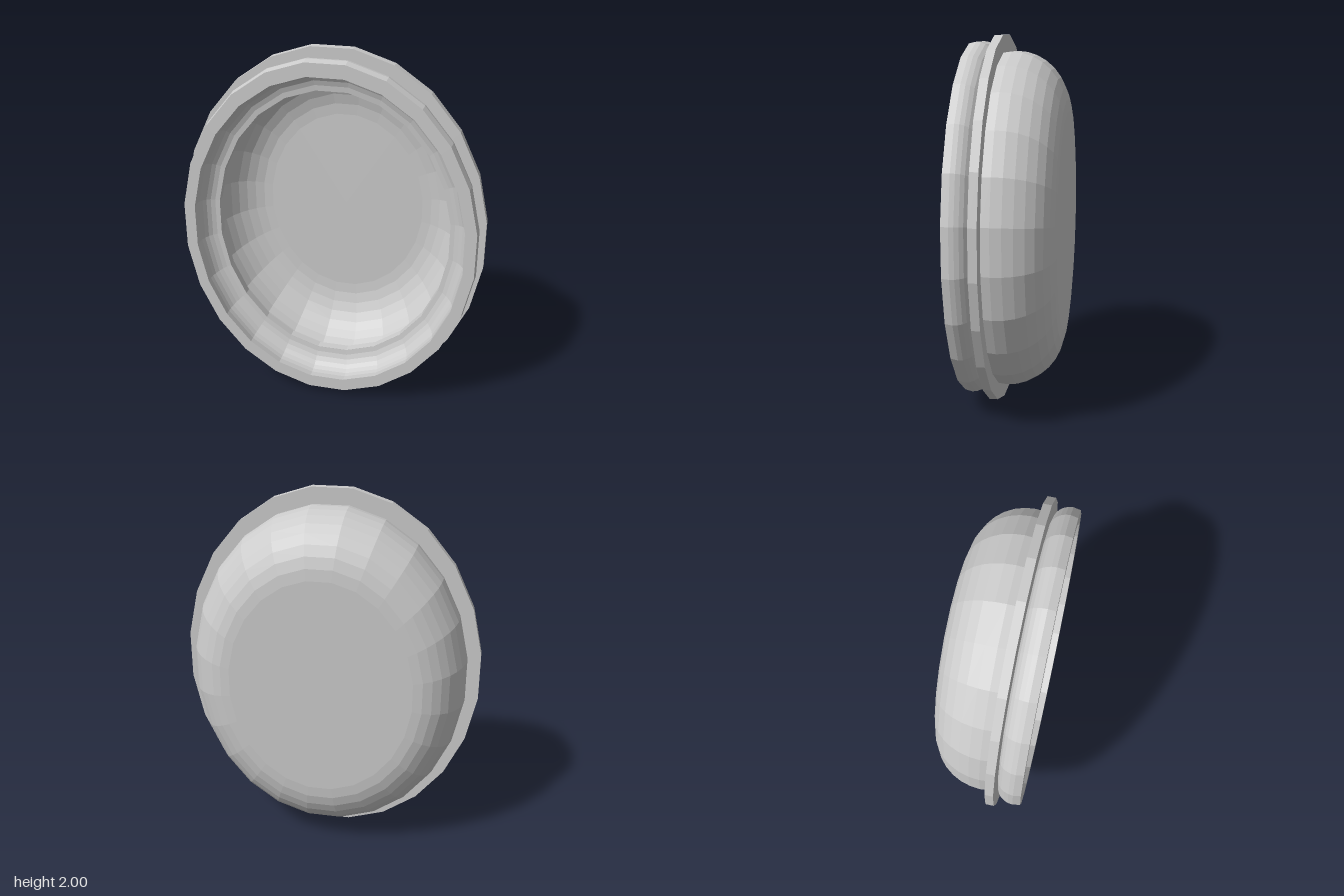
import * as THREE from 'three';

const SIDES = 24;
const HALF = Math.PI / SIDES;
const FIT = 1 / Math.cos(HALF); // so the flat-topped polygon reaches the given radius
const OVAL = 0.822;             // width relative to height

// Quarter arc in (radius, depth) from angle a0 to a1
function arc(r, z, rx, rz, a0, a1, steps = 8) {
  const pts = [];
  for (let i = 0; i <= steps; i++) {
    const a = a0 + (a1 - a0) * i / steps;
    pts.push([r + rx * Math.cos(a), z + rz * Math.sin(a)]);
  }
  return pts;
}

// Faceted oval revolved about z; profile is [radius, z], outer side towards +z first
function ovalPart(name, profile) {
  const points = profile.map(([r, z]) => new THREE.Vector2(r * FIT, z));
  const geo = new THREE.LatheGeometry(points, SIDES, HALF);
  geo.rotateX(Math.PI / 2);
  geo.scale(OVAL, 1, 1);
  geo.translate(0, 1, 0);
  const mesh = new THREE.Mesh(geo, new THREE.MeshStandardMaterial({
    color: 0xcccccc, flatShading: true, side: THREE.DoubleSide,
  }));
  mesh.name = name;
  return mesh;
}

export function createModel() {
  const group = new THREE.Group();
  group.name = 'ovalDish';
  const q = Math.PI / 2;

  // Hollow bowl at the back: flat base, rounded wall, inner wall and floor
  group.add(ovalPart('bowl', [
    [0, -0.26],
    ...arc(0.6, 0.03, 0.315, 0.29, -q, 0),
    [0.91, 0.075], [0.845, 0.075],
    ...arc(0.535, 0.03, 0.315, 0.255, 0, -q),
    [0, -0.225],
  ]));

  // Flat flange between bowl and rim
  group.add(ovalPart('flange', [
    [0.775, 0.075], [1, 0.075], [1, 0.12], [0.775, 0.12], [0.775, 0.075],
  ]));

  // Rounded rim at the front, dished on the inside
  group.add(ovalPart('rim', [
    [0.775, 0.122],
    ...arc(0.87, 0.217, 0.096, 0.095, -q, 0, 6),
    [0.957, 0.257], [0.885, 0.257],
    ...arc(0.775, 0.217, 0.114, 0.095, 0, -q, 6),
  ]));

  return group;
}
